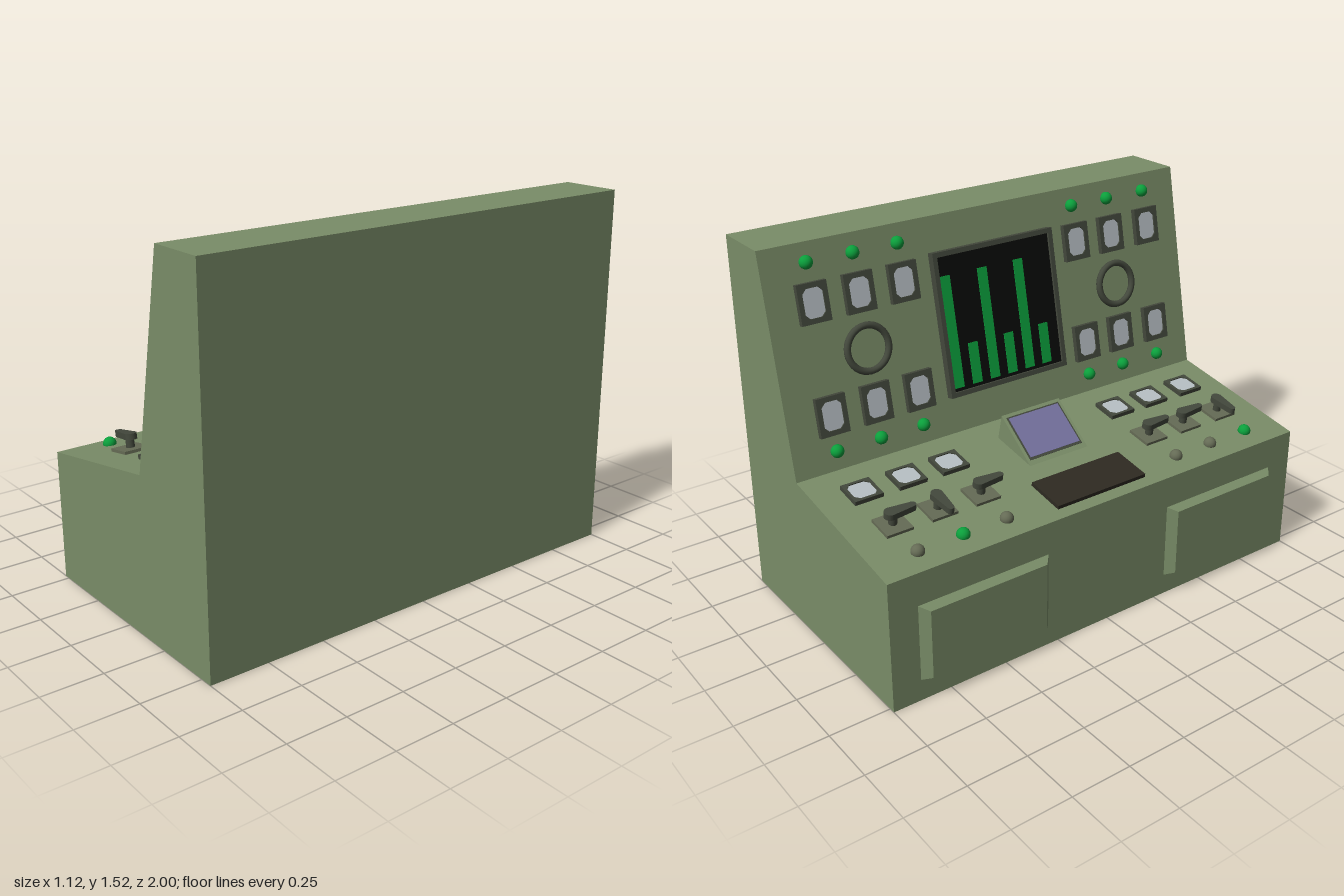
import * as THREE from 'three';

const mat = (name, color, side = THREE.FrontSide) => {
  const m = new THREE.MeshStandardMaterial({ color, side });
  m.name = name;
  return m;
};

export function createModel() {
  const M = {
    body: mat('olive green', 0x7a8d68, THREE.DoubleSide),
    dark: mat('dark grey green', 0x43483c),
    plate: mat('dull olive', 0x656b55),
    face: mat('pale grey', 0xb8c0c5),
    black: mat('black', 0x090b09),
    green: mat('signal green', 0x0ba03c),
    lavender: mat('lavender', 0x75729f),
    pad: mat('dark brown', 0x2e2a21),
  };
  const root = new THREE.Group();
  root.name = 'controlConsole';

  const add = (parent, name, geo, material, x = 0, y = 0, z = 0) => {
    const m = new THREE.Mesh(geo, material);
    m.name = name;
    m.position.set(x, y, z);
    parent.add(m);
    return m;
  };
  const box = (w, h, d) => new THREE.BoxGeometry(w, h, d);

  // rectangle outline, optionally with cut corners
  const rect = (w, d, cx = 0, cz = 0, cut = 0, Type = THREE.Path) => {
    const a = w / 2, b = d / 2, p = [];
    for (const [sx, sy] of [[1, 1], [-1, 1], [-1, -1], [1, -1]]) {
      if (!cut) { p.push(new THREE.Vector2(cx + sx * a, cz + sy * b)); continue; }
      const c = [[sx * a, sy * (b - cut)], [sx * (a - cut), sy * b]];
      if (sx * sy < 0) c.reverse();
      c.forEach(([x, y]) => p.push(new THREE.Vector2(cx + x, cz + y)));
    }
    return new Type(p);
  };

  // sheet folded along a profile: one frame per side (x up the slope, y outward) plus two ends
  const foldedShell = (parent, pts, halfZ, names, holes = {}) => {
    const frames = {};
    names.forEach((name, i) => {
      const [x0, y0] = pts[i], [x1, y1] = pts[i + 1];
      const len = Math.hypot(x1 - x0, y1 - y0);
      const shape = rect(len, halfZ * 2, len / 2, 0, 0, THREE.Shape);
      shape.holes = holes[name] || [];
      const frame = new THREE.Group();
      frame.name = name;
      frame.position.set(x0, y0, 0);
      frame.rotation.z = Math.atan2(y1 - y0, x1 - x0);
      add(frame, name + 'Sheet', new THREE.ShapeGeometry(shape).rotateX(-Math.PI / 2), M.body);
      parent.add(frame);
      frames[name] = frame;
    });
    const end = new THREE.Shape(pts.map(p => new THREE.Vector2(...p)));
    add(parent, 'leftEnd', new THREE.ShapeGeometry(end), M.body, 0, 0, halfZ);
    add(parent, 'rightEnd', new THREE.ShapeGeometry(end), M.body, 0, 0, -halfZ);
    return frames;
  };

  // hollow cabinet, open underneath
  const cabinet = foldedShell(root,
    [[-0.525, 0], [-0.525, 0.545], [0.13, 0.655], [0.305, 1.525], [0.555, 1.525], [0.555, 0]], 1,
    ['frontWall', 'desk', 'panel', 'topCover', 'backWall'],
    {
      frontWall: [-1, 1].map(s => rect(0.32, 0.58, 0.25, s * 0.59)),
      desk: [rect(0.222, 0.29, 0.441, 0)],
    });
  const { frontWall, desk, panel } = cabinet;

  // raised door covers with sloping edges
  for (const s of [-1, 1]) {
    const g = box(0.32, 0.035, 0.58);
    const p = g.attributes.position;
    for (let i = 0; i < p.count; i++) {
      if (p.getY(i) > 0) p.setXYZ(i, p.getX(i) * 0.9, p.getY(i), p.getZ(i) * 0.89);
    }
    const idx = Array.from(g.index.array);
    idx.splice(18, 6); // open inner side
    g.setIndex(idx);
    g.clearGroups();
    g.computeVertexNormals();
    add(frontWall, 'doorCover', g, M.body, 0.25, 0.0175, s * 0.59);
  }

  // frame with an inset face
  const framed = (parent, name, u, z, w, d, h, border, cut, faceMat) => {
    const g = new THREE.Group();
    g.name = name;
    g.position.set(u, 0, z);
    const shape = rect(w, d, 0, 0, 0, THREE.Shape);
    shape.holes.push(rect(w - 2 * border, d - 2 * border, 0, 0, cut));
    const geo = new THREE.ExtrudeGeometry(shape, { depth: h, bevelEnabled: false }).rotateX(-Math.PI / 2);
    add(g, name + 'Frame', geo, M.dark);
    add(g, name + 'Face', box(w - border, 0.006, d - border), faceMat, 0, h * 0.6, 0);
    parent.add(g);
    return g;
  };
  const lamp = (parent, u, z, on) =>
    add(parent, 'lamp', new THREE.SphereGeometry(0.027, 16, 10), on ? M.green : M.plate, u, 0.006, z);

  // lever: mounting plate, post and tapered handle
  const handleShape = new THREE.Shape();
  handleShape.absarc(-0.013, 0, 0.024, Math.PI / 2, Math.PI * 1.5, false);
  handleShape.absarc(0.082, 0, 0.014, -Math.PI / 2, Math.PI / 2, false);
  const handleGeo = new THREE.ExtrudeGeometry(handleShape, { depth: 0.025, bevelEnabled: false, curveSegments: 8 })
    .rotateX(-Math.PI / 2);
  const lever = (z, on) => {
    const g = new THREE.Group();
    g.name = 'lever';
    g.position.set(0.27, 0, z);
    add(g, 'leverPlate', box(0.112, 0.016, 0.112), M.plate, 0, 0.004, 0);
    add(g, 'leverPost', new THREE.CylinderGeometry(0.017, 0.017, 0.052, 12), M.dark, 0, 0.026, 0);
    add(g, 'leverHandle', handleGeo, M.dark, 0, 0.046, 0).rotation.y = on ? Math.PI : -Math.PI / 2;
    desk.add(g);
  };

  // columns of instruments on both sides
  for (const z of [-0.815, -0.62, -0.425, 0.425, 0.615, 0.815]) {
    const on = z === -0.62 || z === 0.815;
    lamp(desk, 0.097, z, on);
    lever(z, on);
    framed(desk, 'deskGauge', 0.494, z, 0.115, 0.122, 0.018, 0.012, 0.018, M.face);
    for (const u of [0.077, 0.812]) lamp(panel, u, z, true);
    for (const u of [0.222, 0.66]) {
      framed(panel, 'panelGauge', u, z, 0.155, 0.125, 0.022, 0.02, 0.018, M.face);
    }
  }

  // round rings between the panel gauges
  for (const z of [-0.62, 0.615]) {
    add(panel, 'ring', new THREE.TorusGeometry(0.09, 0.014, 10, 32).rotateX(Math.PI / 2), M.dark, 0.44, 0.014, z);
  }

  // writing pad
  add(desk, 'pad', box(0.172, 0.02, 0.435), M.pad, 0.137, 0.006, 0);

  // wedge-shaped monitor on the desk
  const monitor = new THREE.Group();
  monitor.name = 'deskMonitor';
  desk.add(monitor);
  const { monitorFront } = foldedShell(monitor, [[0.33, 0], [0.546, 0.111], [0.553, 0]], 0.145,
    ['monitorFront', 'monitorBack']);
  add(monitorFront, 'monitorSurround', box(0.205, 0.002, 0.262), M.dark, 0.125, 0.001, 0);
  add(monitorFront, 'monitorScreen', box(0.188, 0.004, 0.248), M.lavender, 0.127, 0.002, 0);

  // large bar-graph screen
  const screen = framed(panel, 'mainScreen', 0.449, 0, 0.592, 0.585, 0.033, 0.02, 0, M.black);
  for (let i = 0; i < 6; i++) {
    const len = i % 2 ? 0.17 : 0.46;
    add(screen, 'graphBar', box(len, 0.004, 0.046), M.green, -0.262 + len / 2, 0.0235, -0.245 + i * 0.0885);
  }

  return root;
}
